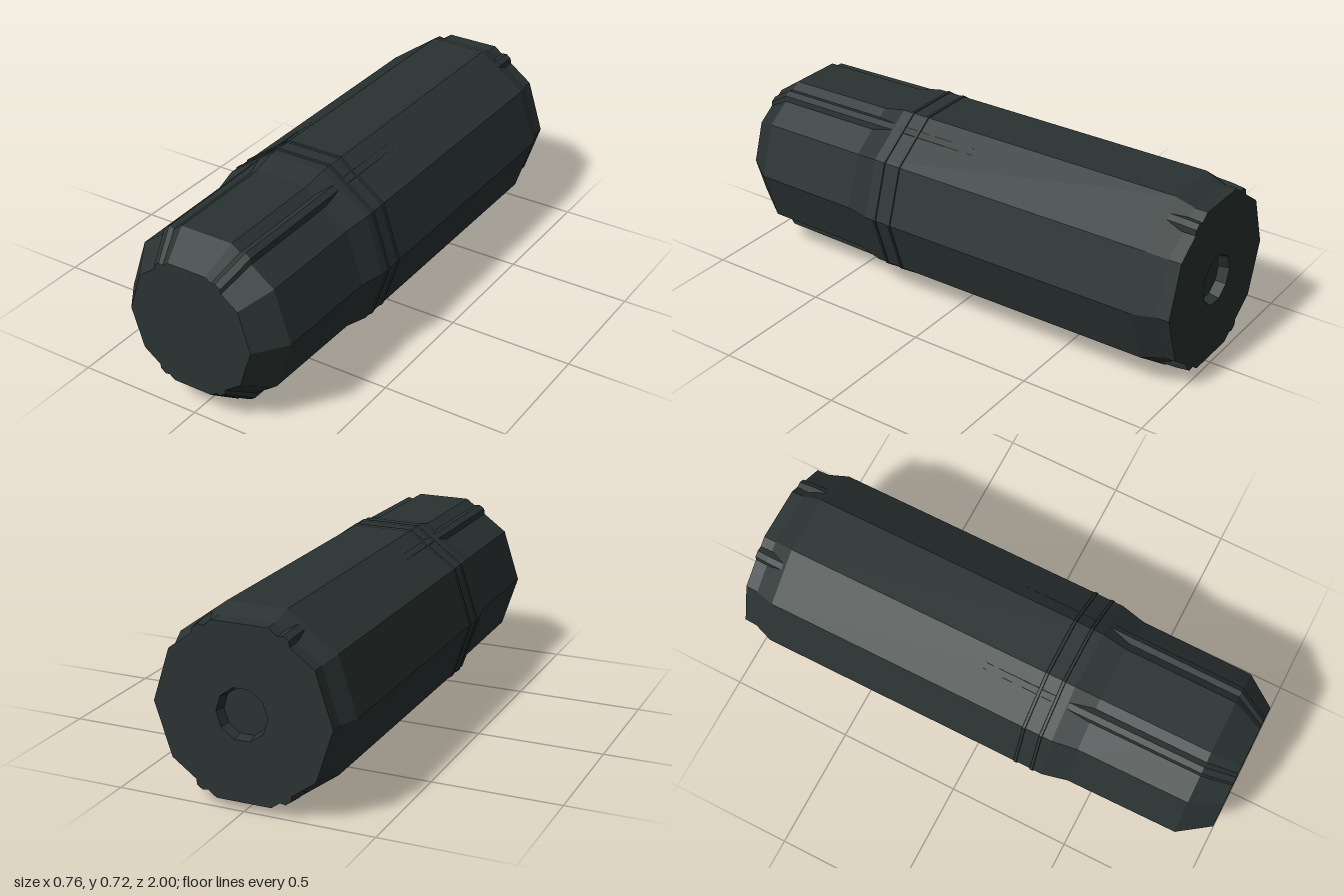
import * as THREE from 'three';

const CY = 0.362; // height of the long axis

// Ten-sided solid of revolution along z; profile is [radius, z] from back to front
function decagon(profile) {
  const g = new THREE.LatheGeometry(profile.map(([r, z]) => new THREE.Vector2(r, z)), 10, Math.PI / 2);
  g.rotateX(Math.PI / 2);
  const flat = g.toNonIndexed();
  flat.computeVertexNormals();
  return flat;
}

// Slim trapezoid rib following a list of [z, height from axis], mirrored by signs
function ribGeometry(stations, sx, sy) {
  const a = THREE.MathUtils.degToRad(54);
  const section = [[-0.032, -0.035], [-0.028, -0.016], [-0.013, 0], [0.013, 0], [0.028, -0.016], [0.032, -0.035]];
  const n = section.length;
  const pos = [], idx = [];
  for (const [z, h] of stations) {
    for (const [u, d] of section) {
      const s = 0.105 * h + u, r = h + d;
      pos.push(sx * (r * Math.cos(a) - s * Math.sin(a)), sy * (r * Math.sin(a) + s * Math.cos(a)), z);
    }
  }
  const flip = sx * sy < 0;
  const tri = (p, q, r) => (flip ? idx.push(p, r, q) : idx.push(p, q, r));
  // Sides
  for (let i = 0; i < stations.length - 1; i++) {
    for (let j = 0; j < n; j++) {
      const k = (j + 1) % n, p = i * n, q = p + n;
      tri(p + j, p + k, q + k);
      tri(p + j, q + k, q + j);
    }
  }
  // End caps
  const e = (stations.length - 1) * n;
  for (let j = 1; j < n - 1; j++) {
    tri(0, j + 1, j);
    tri(e, e + j, e + j + 1);
  }
  const g = new THREE.BufferGeometry();
  g.setAttribute('position', new THREE.Float32BufferAttribute(pos, 3));
  g.setIndex(idx);
  const flat = g.toNonIndexed();
  flat.computeVertexNormals();
  return flat;
}

export function createModel() {
  const model = new THREE.Group();
  model.name = 'cylinderModel';
  const darkMetal = new THREE.MeshStandardMaterial({ color: 0x2a3332 });
  darkMetal.name = 'dark grey green';

  const add = (name, geometry) => {
    const m = new THREE.Mesh(geometry, darkMetal);
    m.name = name;
    m.position.y = CY;
    model.add(m);
  };

  // Main body with back recess, chamfered tail and tapered nose
  add('body', decagon([
    [0, -0.96], [0.09, -0.96], [0.1, -1], [0.345, -1], [0.347, -0.95], [0.376, -0.87],
    [0.376, 0.33], [0.353, 0.43], [0.348, 0.88], [0.262, 1], [0, 1],
  ]));

  // Two thin raised bands behind the nose
  for (const z of [0.215, 0.285]) {
    add('band', decagon([[0.37, z - 0.009], [0.38, z - 0.005], [0.38, z + 0.005], [0.37, z + 0.009]]));
  }

  // Four ribs along the nose, sinking into the body and showing again at the tail chamfer
  const stations = [
    [-1, 0.344], [-0.95, 0.35], [-0.86, 0.354], [-0.3, 0.3565], [0.25, 0.359],
    [0.4, 0.355], [0.88, 0.348], [1, 0.262],
  ];
  for (const sx of [1, -1]) {
    for (const sy of [1, -1]) add('rib', ribGeometry(stations, sx, sy));
  }
  return model;
}
